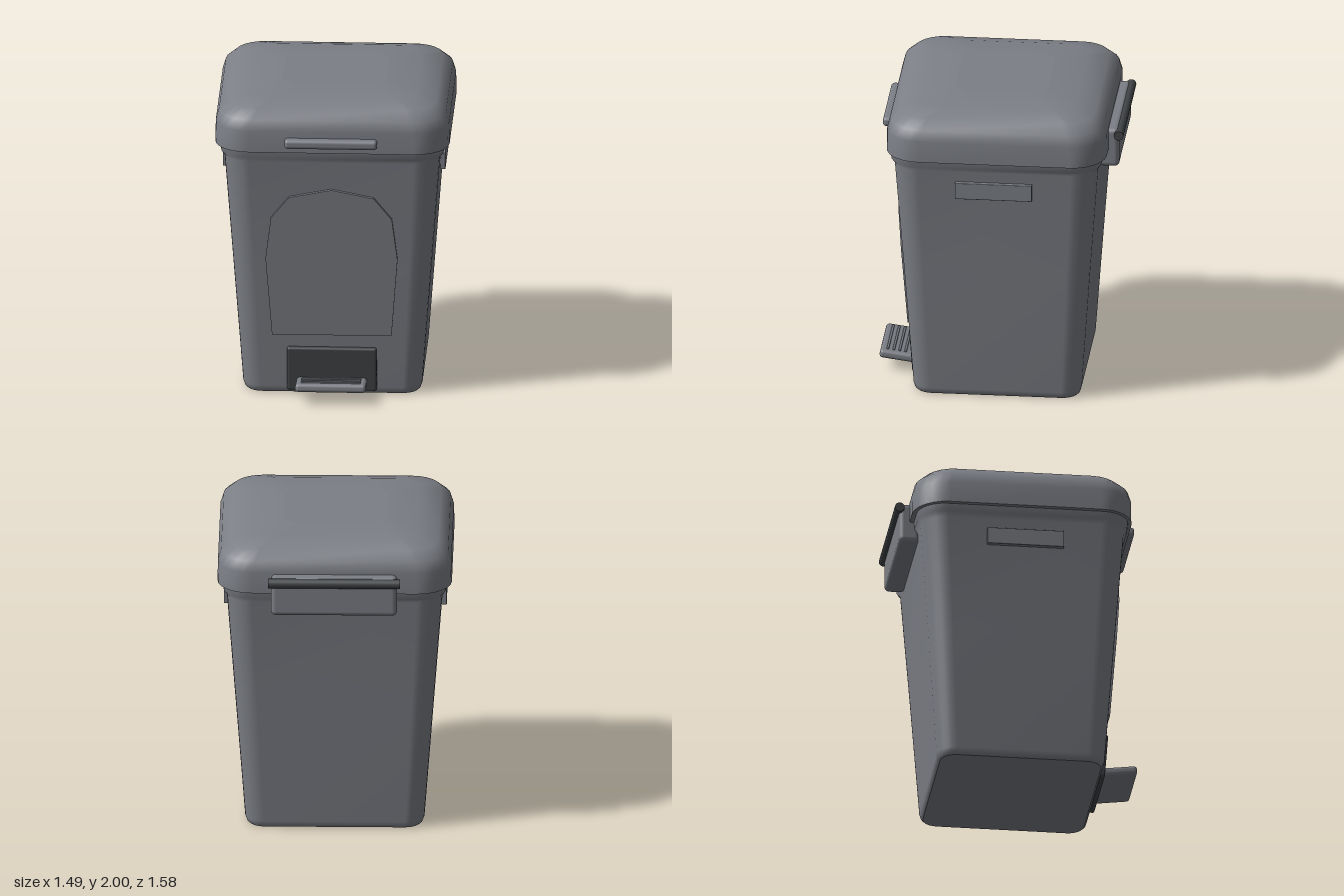
import * as THREE from 'three';
import { RoundedBoxGeometry } from 'three/addons/geometries/RoundedBoxGeometry.js';

const grey = new THREE.MeshStandardMaterial({ name: 'grey plastic', color: 0x7c7f86 });
const dark = new THREE.MeshStandardMaterial({ name: 'dark plastic', color: 0x424548 });

// Skin stacked rounded rectangles [y, half width, half depth, corner radius], closed by flat caps
function loft(rings, steps = 6) {
  const pos = [], index = [];
  const outline = ([y, hx, hz, r]) => {
    const pts = [];
    for (let q = 0; q < 4; q++) {
      const sx = q === 0 || q === 3 ? 1 : -1, sz = q < 2 ? 1 : -1;
      for (let i = 0; i <= steps; i++) {
        const a = (q + i / steps) * Math.PI / 2;
        pts.push([sx * (hx - r) + r * Math.cos(a), y, sz * (hz - r) + r * Math.sin(a)]);
      }
    }
    return pts;
  };
  const n = 4 * (steps + 1);
  rings.forEach((ring) => outline(ring).forEach((p) => pos.push(...p)));
  for (let i = 0; i < rings.length - 1; i++) {
    for (let j = 0; j < n; j++) {
      const a = i * n + j, b = i * n + (j + 1) % n;
      index.push(a, a + n, b, b, a + n, b + n);
    }
  }
  [rings[0], rings[rings.length - 1]].forEach((ring, top) => {
    const c = pos.length / 3;
    pos.push(0, ring[0], 0);
    outline(ring).forEach((p) => pos.push(...p));
    for (let j = 0; j < n; j++) {
      const a = c + 1 + j, b = c + 1 + (j + 1) % n;
      index.push(c, ...(top ? [b, a] : [a, b]));
    }
  });
  const g = new THREE.BufferGeometry();
  g.setAttribute('position', new THREE.Float32BufferAttribute(pos, 3));
  g.setIndex(index);
  g.computeVertexNormals();
  return g;
}

export function createModel() {
  const model = new THREE.Group();
  model.name = 'pedalBin';
  const add = (name, geometry, material, x, y, z, rx = 0, parent = model) => {
    const mesh = new THREE.Mesh(geometry, material);
    mesh.name = name;
    mesh.position.set(x, y, z);
    mesh.rotation.x = rx;
    parent.add(mesh);
    return mesh;
  };
  const box = (w, h, d, r) => new RoundedBoxGeometry(w, h, d, 3, r);
  const lean = 0.073;

  // Tapered body with a flared rim
  add('body', loft([
    [0, 0.545, 0.515, 0.1],
    [0.012, 0.558, 0.527, 0.11],
    [0.045, 0.57, 0.537, 0.12],
    [0.85, 0.63, 0.594, 0.14],
    [1.6, 0.686, 0.65, 0.16],
    [1.63, 0.708, 0.672, 0.18],
    [1.7, 0.715, 0.678, 0.18],
  ]), grey, 0, 0, 0.012);

  // Domed lid
  add('lid', loft([
    [1.68, 0.745, 0.702, 0.22],
    [1.82, 0.742, 0.7, 0.22],
    [1.89, 0.722, 0.682, 0.22],
    [1.95, 0.66, 0.622, 0.19],
    [1.985, 0.53, 0.492, 0.16],
    [2.0, 0.33, 0.296, 0.11],
  ]), grey, 0, 0, 0.01);
  add('lidHandle', box(0.59, 0.06, 0.1, 0.022), grey, 0, 1.75, 0.712);

  // Arched front panel, leaning with the wall
  const arch = new THREE.Shape([
    [-0.38, 0], [0.38, 0], [0.42, 0.53], [0.385, 0.81], [0.27, 0.955],
    [0, 1.01], [-0.27, 0.955], [-0.385, 0.81], [-0.42, 0.53],
  ].map(([x, y]) => new THREE.Vector2(x, y)));
  add('frontPanel', new THREE.ExtrudeGeometry(arch, { depth: 0.03, bevelEnabled: false }),
    grey, 0, 0.41, 0.564, lean);

  // Grip plates on both sides
  for (const [name, s] of [['leftGrip', 1], ['rightGrip', -1]]) {
    add(name, box(0.032, 0.11, 0.49, 0.004), grey, s * 0.692, 1.475, 0.015);
  }

  // Pedal recess plate and tilted pedal with grip ridges
  add('pedalPlate', box(0.57, 0.295, 0.05, 0.015), dark, 0, 0.173, 0.56, lean);
  const pedal = new THREE.Group();
  pedal.name = 'pedal';
  pedal.position.set(0, 0.1, 0.67);
  pedal.rotation.x = -0.13;
  model.add(pedal);
  add('pedalTread', box(0.45, 0.055, 0.24, 0.022), grey, 0, 0, 0, 0, pedal);
  for (let i = 0; i < 4; i++) {
    add('pedalRidge', box(0.38, 0.014, 0.016, 0.005), grey, 0, 0.028, -0.04 + i * 0.038, 0, pedal);
  }

  // Rear hinge block and rod
  add('hingeBlock', box(0.8, 0.26, 0.13, 0.03), grey, 0, 1.68, -0.693);
  const rod = add('hingeRod', new THREE.CylinderGeometry(0.031, 0.031, 0.84, 20), dark, 0, 1.775, -0.757);
  rod.rotation.z = Math.PI / 2;

  return model;
}
